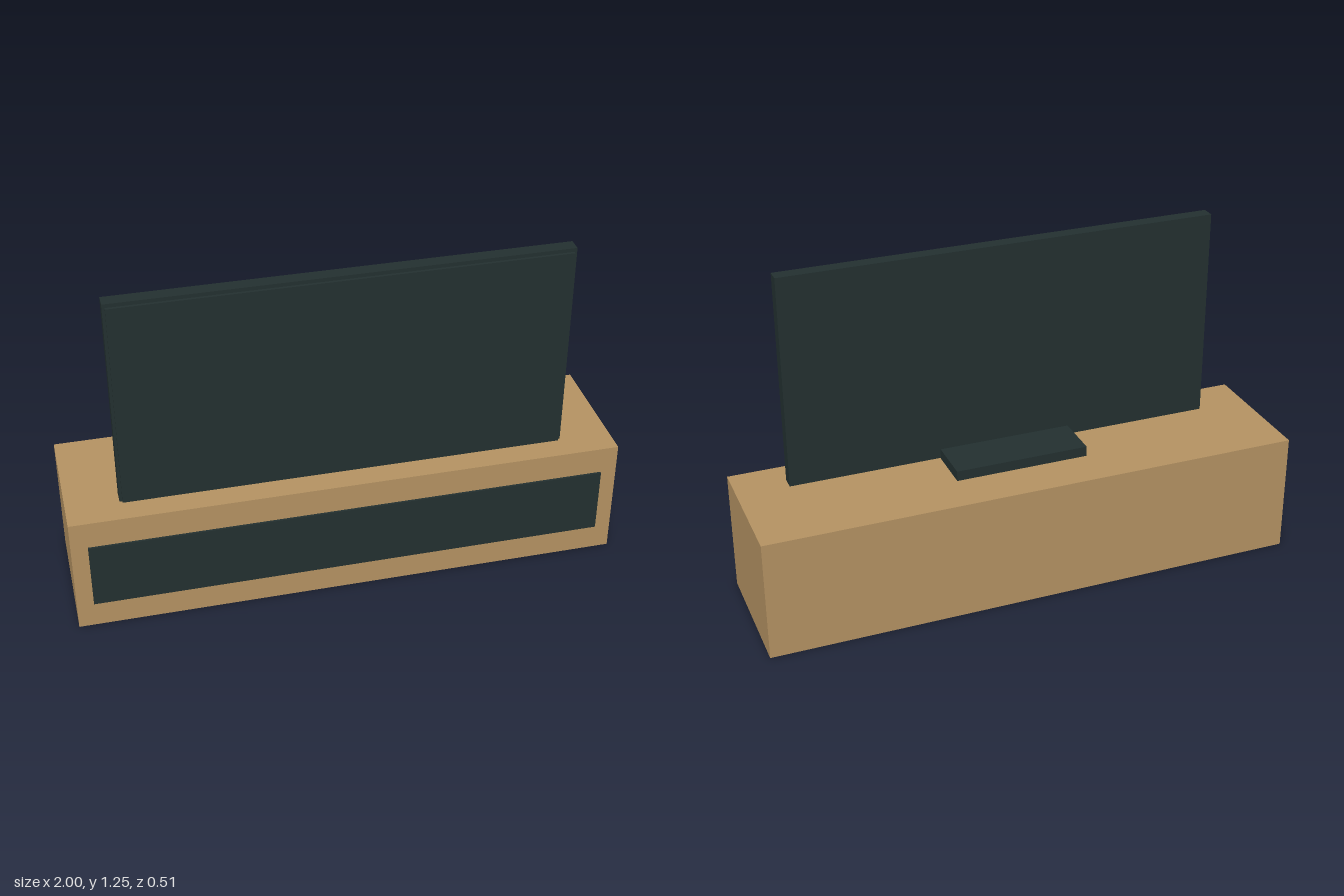
import * as THREE from 'three';

export function createModel() {
  const model = new THREE.Group();
  model.name = 'televisionStand';

  const wood = new THREE.MeshStandardMaterial({ color: 0xb49262 });
  wood.name = 'wood';
  const charcoal = new THREE.MeshStandardMaterial({ color: 0x233030 });
  charcoal.name = 'charcoal';

  // Box given by its extents on each axis
  function addBox(name, material, [x0, x1], [y0, y1], [z0, z1]) {
    const mesh = new THREE.Mesh(new THREE.BoxGeometry(x1 - x0, y1 - y0, z1 - z0), material);
    mesh.position.set((x0 + x1) / 2, (y0 + y1) / 2, (z0 + z1) / 2);
    mesh.name = name;
    model.add(mesh);
  }

  // Low cabinet with a dark front panel
  addBox('cabinet', wood, [-1, 1], [0, 0.452], [-0.254, 0.246]);
  addBox('frontPanel', charcoal, [-0.94, 0.94], [0.1, 0.35], [0.246, 0.254]);

  // Television: casing and slightly smaller screen in front
  addBox('televisionCasing', charcoal, [-0.81, 0.81], [0.452, 1.245], [0.096, 0.146]);
  addBox('televisionScreen', charcoal, [-0.8, 0.8], [0.453, 1.231], [0.146, 0.156]);

  // Flat media box behind the television
  addBox('mediaBox', charcoal, [-0.25, 0.25], [0.456, 0.494], [-0.092, 0.084]);

  return model;
}
